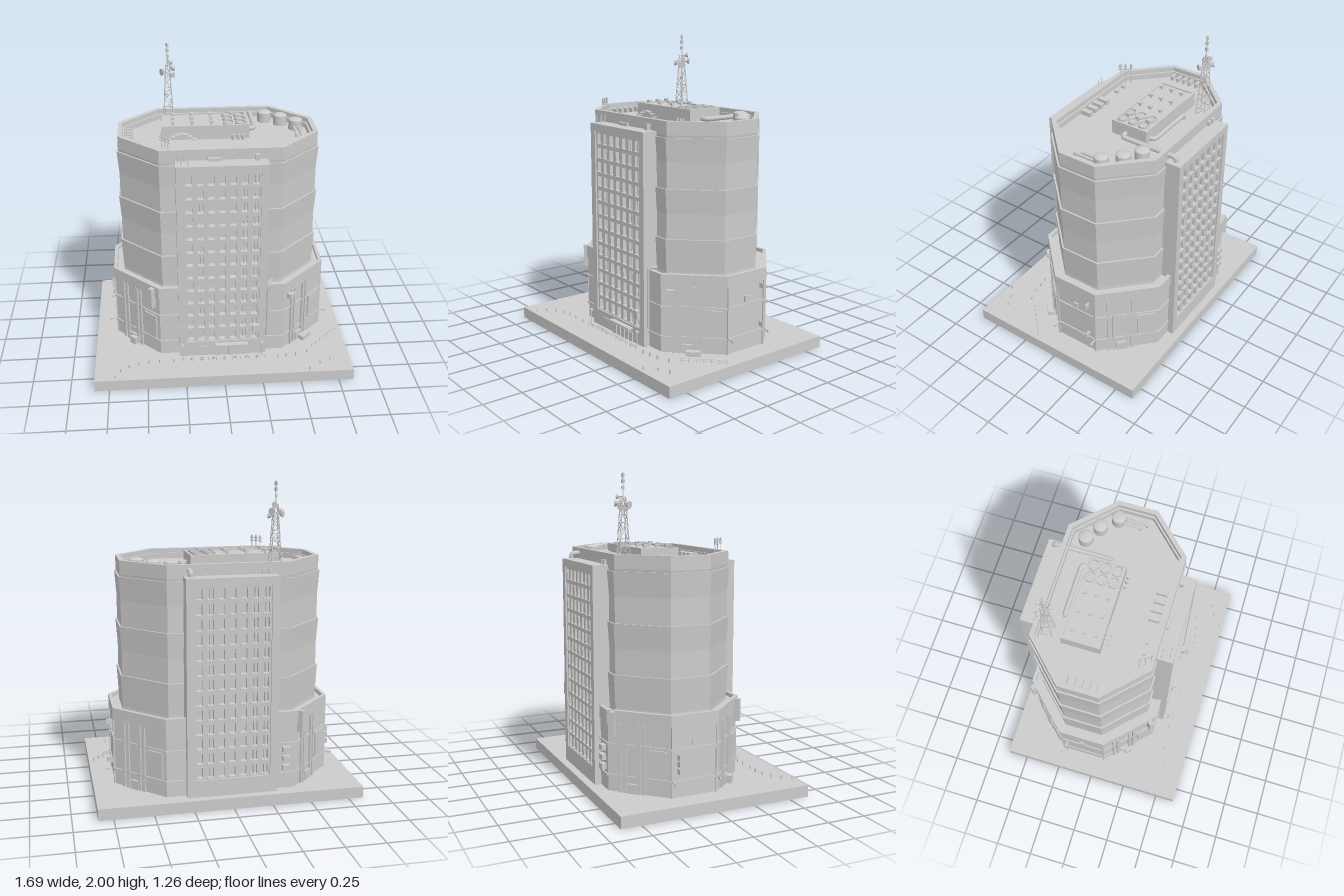
import * as THREE from 'three';

const mat = new THREE.MeshStandardMaterial({ color: 0xcccccc, flatShading: true, side: THREE.DoubleSide });
const smooth = new THREE.MeshStandardMaterial({ color: 0xcccccc, side: THREE.DoubleSide });
const ZC = -0.0925; // tower centre in z
const GROUND = 0.075;
const ROOF = 1.455;

function add(parent, name, geo, x = 0, y = 0, z = 0, ry = 0, m = mat) {
  const mesh = new THREE.Mesh(geo, m);
  mesh.name = name;
  mesh.position.set(x, y, z);
  mesh.rotation.y = ry;
  parent.add(mesh);
  return mesh;
}
// box given by centre x, bottom y, centre z
const box = (p, name, w, h, d, x, y, z, ry = 0) =>
  add(p, name, new THREE.BoxGeometry(w, h, d), x, y + h / 2, z, ry);
const cyl = (p, name, r, h, x, y, z, n = 12) =>
  add(p, name, new THREE.CylinderGeometry(r, r, h, n), x, y + h / 2, z);
// thin straight bar between two points
function bar(p, name, a, b, r) {
  const A = new THREE.Vector3(...a), B = new THREE.Vector3(...b), d = B.clone().sub(A);
  const m = add(p, name, new THREE.CylinderGeometry(r, r, d.length(), 5));
  m.position.copy(A).add(B).multiplyScalar(0.5);
  m.quaternion.setFromUnitVectors(new THREE.Vector3(0, 1, 0), d.normalize());
}
// bent duct: straight runs joined by rounded corners
function pipe(p, name, pts, r) {
  const v = pts.map(q => new THREE.Vector3(...q)), path = new THREE.CurvePath();
  let from = v[0];
  for (let i = 1; i < v.length - 1; i++) {
    const s = v[i].clone().lerp(v[i - 1], Math.min(0.45, 0.035 / v[i].distanceTo(v[i - 1])));
    const e = v[i].clone().lerp(v[i + 1], Math.min(0.45, 0.035 / v[i].distanceTo(v[i + 1])));
    path.add(new THREE.LineCurve3(from, s));
    path.add(new THREE.QuadraticBezierCurve3(s, v[i], e));
    from = e;
  }
  path.add(new THREE.LineCurve3(from, v[v.length - 1]));
  add(p, name, new THREE.TubeGeometry(path, 40, r, 8), 0, 0, 0, 0, smooth);
}

// long octagon grown outward by d
function octagon(d) {
  const hx = 0.64 + d, hz = 0.385 + d, c = 0.255 + 0.586 * d, a = hx - c, b = hz - c;
  return [[hx, b], [hx, -b], [a, -hz], [-a, -hz], [-hx, -b], [-hx, b], [-a, hz], [a, hz]];
}
// skin through octagons given as [offset, y], closed with a flat top
function octLoft(profile) {
  const pos = [], put = (...ps) => ps.forEach(q => pos.push(...q));
  const rings = profile.map(([d, y]) => octagon(d).map(([x, z]) => [x, y, z + ZC]));
  const last = rings[rings.length - 1];
  for (let i = 0; i < 8; i++) {
    const k = (i + 1) % 8;
    for (let j = 0; j + 1 < rings.length; j++) {
      const a = rings[j][i], b = rings[j][k], c = rings[j + 1][k], d = rings[j + 1][i];
      put(a, b, c, a, c, d);
    }
    put(last[i], last[k], [0, last[0][1], ZC]);
  }
  const g = new THREE.BufferGeometry();
  g.setAttribute('position', new THREE.Float32BufferAttribute(pos, 3));
  g.computeVertexNormals();
  return g;
}
// box standing on side i of the podium, t along the side from 0 to 1
function onPodium(p, name, i, t, y, w, h, d, gap = 0) {
  const o = octagon(0.063), [ax, az] = o[i], [bx, bz] = o[(i + 1) % 8];
  const n = new THREE.Vector2(-(bz - az), bx - ax).normalize(), out = gap + d / 2 - 0.004;
  return box(p, name, w, h, d, ax + (bx - ax) * t + n.x * out, y, az + (bz - az) * t + n.y * out + ZC, Math.atan2(n.x, n.y));
}

const rect = (C, x0, y0, x1, y1) => {
  const s = new C();
  s.moveTo(x0, y0); s.lineTo(x1, y0); s.lineTo(x1, y1); s.lineTo(x0, y1); s.closePath();
  return s;
};
// slab with a grid of window openings, facing +z
function facade() {
  const g = new THREE.Group();
  box(g, 'facadeCore', 0.574, 1.375, 0.16, 0, GROUND, 0.37);
  const frame = rect(THREE.Shape, -0.287, GROUND, 0.287, 1.45);
  frame.holes.push(rect(THREE.Path, -0.24, 0.185, 0.24, 1.4));
  add(g, 'facadeFrame', new THREE.ExtrudeGeometry(frame, { depth: 0.037, bevelEnabled: false }), 0, 0, 0.45);
  const grid = rect(THREE.Shape, -0.24, 0.185, 0.24, 1.4);
  for (let r = 0; r < 13; r++) for (let c = 0; c < 7; c++) {
    const x = (c - 3) * 0.069, y = 0.197 + r * 0.0938;
    grid.holes.push(rect(THREE.Path, x - 0.019, y, x + 0.019, y + 0.064));
    box(g, 'windowSill', 0.042, 0.006, 0.012, x, y - 0.006, 0.48);
    if (c === 1 || c > 4) box(g, 'windowMullion', 0.006, 0.064, 0.02, x, y, 0.46);
  }
  add(g, 'windowGrid', new THREE.ExtrudeGeometry(grid, { depth: 0.026, bevelEnabled: false }), 0, 0, 0.45);
  return g;
}

function latticeMast(p, x, z) {
  const g = new THREE.Group(), half = y => 0.034 - 0.022 * (y - ROOF) / 0.4;
  g.name = 'antennaMast';
  const sx = [1, 1, -1, -1], sz = [1, -1, -1, 1];
  const at = (i, y) => [x + sx[i % 4] * half(y), y, z + sz[i % 4] * half(y)];
  for (let i = 0; i < 4; i++) {
    bar(g, 'mastLeg', at(i, ROOF), at(i, 1.86), 0.0035);
    for (let k = 0; k < 8; k++) {
      const y = ROOF + k * 0.05;
      bar(g, 'mastBrace', at(i + k % 2, y), at(i + 1 - k % 2, y + 0.05), 0.002);
      bar(g, 'mastRing', at(i, y + 0.05), at(i + 1, y + 0.05), 0.002);
    }
  }
  bar(g, 'mastSpike', [x, 1.84, z], [x, 2, z], 0.004);
  for (const y of [1.9, 1.94, 1.975]) box(g, 'mastAerial', 0.018, 0.02, 0.014, x, y, z, y * 9);
  for (const [dx, dy, dz, r] of [[-0.035, 1.81, 0.02, 0.024], [0.03, 1.79, 0.025, 0.02], [0.015, 1.86, -0.03, 0.018], [0.03, 1.82, -0.03, 0.022], [-0.03, 1.8, -0.03, 0.018]]) {
    const d = add(g, 'dish', new THREE.CylinderGeometry(r, r * 0.6, 0.018, 12), x + dx, dy, z + dz);
    d.rotation.set(Math.PI / 2, 0, -Math.atan2(dx, dz), 'YXZ');
    d.rotation.y = Math.atan2(dx, dz); d.rotation.z = 0;
    bar(g, 'dishArm', [x, dy, z], [x + dx, dy, z + dz], 0.003);
  }
  p.add(g);
}

export function createModel() {
  const m = new THREE.Group();
  m.name = 'officeTower';

  // ground slab, open underneath
  const slab = new THREE.BoxGeometry(1.69, GROUND, 1.26);
  slab.setIndex([...slab.index.array].filter((_, i) => i < 18 || i >= 24));
  add(m, 'groundSlab', slab, 0, GROUND / 2, 0);

  // podium and tower with flared storeys
  add(m, 'podium', octLoft([[0.06, GROUND], [0.06, 0.515], [0.068, 0.515], [0.068, 0.585], [0.045, 0.585], [0.045, 0.56], [-0.02, 0.56]]));
  for (const y of [0.168, 0.366, 0.505]) add(m, 'podiumBand', octLoft([[0.055, y], [0.068, y], [0.068, y + 0.014], [0.055, y + 0.014]]));
  const storeys = [[0, 0.55]];
  for (const [y0, y1] of [[0.58, 0.79], [0.95, 1.105], [1.27, 1.42]]) storeys.push([-0.002, y0], [0.009, y1], [-0.002, y1]);
  add(m, 'tower', octLoft([...storeys, [0, 1.435], [0, 1.52], [-0.03, 1.52], [-0.03, 1.49], [-0.042, 1.49], [-0.042, ROOF]]));

  // front and back facades
  for (const [name, ry] of [['frontFacade', 0], ['backFacade', Math.PI]]) {
    const f = facade();
    f.name = name; f.position.z = ZC; f.rotation.y = ry;
    m.add(f);
  }

  // podium pilasters, panels, doors and hanging boxes
  for (const i of [1, 3, 5, 7]) {
    for (const t of [0.2, 0.28, 0.5, 0.58]) onPodium(m, 'pilaster', i, t, GROUND, 0.02, 0.435, 0.014);
    onPodium(m, 'wallPanel', i, 0.8, 0.19, 0.11, 0.17, 0.012);
    onPodium(m, 'serviceDoor', i, 0.4, GROUND, 0.06, 0.06, 0.016);
  }
  for (const i of [0, 4]) {
    for (const t of [0.02, 0.98]) {
      onPodium(m, 'cornerPost', i, t, GROUND, 0.012, 0.44, 0.01);
      const lamp = onPodium(m, 'lampArm', i, t, 0.175, 0.006, 0.006, 0.05);
      box(m, 'lampHead', 0.02, 0.012, 0.012, lamp.position.x + Math.sign(lamp.position.x) * 0.025, 0.168, lamp.position.z);
    }
    onPodium(m, 'wallBox', i, 0.5, 0.39, 0.03, 0.04, 0.012);
  }
  for (const y of [0.225, 0.27, 0.31]) onPodium(m, 'hangingSign', 4, 0.15, y, 0.012, 0.034, 0.036, 0.006);
  for (const y of [0.21, 0.465]) onPodium(m, 'hangingSign', 0, 0.85, y, 0.012, 0.032, 0.036, 0.012);
  onPodium(m, 'uprightSign', 5, 0.88, 0.43, 0.03, 0.145, 0.04);
  onPodium(m, 'uprightSign', 3, 0.1, 0.44, 0.03, 0.14, 0.04);
  onPodium(m, 'wallUnit', 7, 0.15, 0.455, 0.05, 0.035, 0.03);
  for (const y of [0.2, 0.26, 0.32]) onPodium(m, 'airConditioner', 2, 0.93, y, 0.05, 0.035, 0.03);
  onPodium(m, 'kiosk', 7, 0.5, GROUND, 0.09, 0.03, 0.04, 0.02);
  onPodium(m, 'kiosk', 5, 0.45, GROUND, 0.05, 0.05, 0.035, 0.01);
  pipe(m, 'downpipe', [[0.3, 0.2, 0.37], [0.3, 0.6, 0.37], [0.33, 0.6, 0.32]], 0.008);
  box(m, 'facadeUnit', 0.045, 0.055, 0.03, 0.22, 0.25, 0.4);

  // entrance
  box(m, 'entranceCanopy', 0.22, 0.01, 0.04, 0.06, 0.16, 0.41);
  for (let i = 0; i < 5; i++) box(m, 'entranceDoor', 0.035, 0.065, 0.01, -0.03 + i * 0.045, GROUND, 0.397);
  for (const x of [-0.15, -0.105]) box(m, 'entrancePanel', 0.035, 0.02, 0.01, x, 0.13, 0.397);
  for (const x of [-0.265, 0.26]) {
    cyl(m, 'streetLampPost', 0.004, 0.1, x, GROUND, 0.43, 6);
    box(m, 'streetLampHead', 0.02, 0.012, 0.02, x, 0.172, 0.43);
  }

  // bollards and pavement railings
  for (const [x, z] of [[-0.71, 0.6], [-0.675, 0.54], [-0.62, 0.5], [-0.56, 0.47], [-0.49, 0.46], [-0.42, 0.457], [-0.33, 0.457],
    [0.365, 0.457], [0.425, 0.452], [0.49, 0.443], [0.57, 0.416], [0.705, 0.515], [0.635, 0.55], [0.56, 0.605]])
    cyl(m, 'bollard', 0.005, 0.025, x, GROUND, z, 8);
  for (const [a, b, n] of [[[-0.26, 0.457], [0.28, 0.457], 10], [[0.61, 0.355], [0.81, 0.16], 6]]) {
    for (let i = 0; i <= n; i++) {
      const t = i / n;
      cyl(m, 'railingPost', 0.003, 0.026, a[0] + (b[0] - a[0]) * t, GROUND, a[1] + (b[1] - a[1]) * t, 5);
    }
    for (const y of [0.088, 0.1]) bar(m, 'railingBar', [a[0], y, a[1]], [b[0], y, b[1]], 0.002);
  }

  // roof plant room with vents and fans
  box(m, 'plantRoom', 0.565, 0.085, 0.25, -0.075, ROOF, -0.165);
  for (const z of [-0.283, -0.047]) box(m, 'plantRoomRim', 0.565, 0.008, 0.014, -0.075, 1.54, z);
  for (const x of [-0.35, 0.2]) box(m, 'plantRoomRim', 0.014, 0.008, 0.25, x, 1.54, -0.165);
  for (const z of [-0.235, -0.16, -0.085]) {
    for (const x of [-0.285, -0.16, -0.035]) {
      cyl(m, 'ventStem', 0.007, 0.016, x, 1.54, z, 8);
      box(m, 'ventCap', 0.024, 0.014, 0.024, x, 1.554, z);
    }
    for (const x of [0.072, 0.152]) {
      add(m, 'fanRing', new THREE.CylinderGeometry(0.034, 0.034, 0.014, 16, 1, true), x, 1.547, z);
      for (let k = 0; k < 4; k++) box(m, 'fanBlade', 0.062, 0.003, 0.008, x, 1.546, z, k * Math.PI / 4);
    }
  }

  // roof tanks, ducts and boxes
  for (const [x, z] of [[0.34, -0.35], [0.44, -0.285], [0.53, -0.19]]) {
    cyl(m, 'waterTank', 0.046, 0.062, x, ROOF, z, 20);
    add(m, 'tankDome', new THREE.SphereGeometry(0.046, 20, 6, 0, Math.PI * 2, 0, Math.PI / 2), x, ROOF + 0.062, z, 0, smooth).scale.y = 0.3;
  }
  for (const [x, z] of [[0.515, -0.04], [0.545, -0.005]]) pipe(m, 'tankPipe', [[x, 1.48, -0.17], [x, 1.48, z], [x, ROOF, z]], 0.01);
  pipe(m, 'roofDuct', [[-0.18, ROOF, -0.32], [-0.18, 1.485, -0.32], [0.165, 1.485, -0.32], [0.165, 1.485, -0.27]], 0.015);
  pipe(m, 'roofDuct', [[0.25, ROOF, -0.53], [0.25, 1.485, -0.53], [0.25, 1.485, -0.14], [0.19, 1.485, -0.14]], 0.016);
  for (const z of [-0.185, -0.135, -0.09, -0.045, 0]) box(m, 'roofVent', 0.05, 0.03, 0.018, -0.57, ROOF, z);
  for (let i = 0; i < 4; i++) box(m, 'roofUnit', 0.034, 0.03, 0.07, -0.05 + i * 0.06, ROOF, 0.21);
  for (const x of [-0.28, -0.205]) box(m, 'roofHatch', 0.022, 0.02, 0.022, x, ROOF, 0.213);
  for (const x of [0.1, 0.135, 0.165]) cyl(m, 'roofStub', 0.01, 0.035, x, ROOF, -0.02, 10);
  for (let i = 0; i < 7; i++) box(m, 'accessStep', 0.028, 0.006, 0.035, -0.315 + i * 0.028, ROOF + 0.045 * Math.sin(Math.PI * (i + 0.5) / 7), -0.02);

  // masts
  latticeMast(m, -0.305, -0.385);
  for (const k of [-1, 0, 1]) {
    const x = -0.345 + k * 0.02, z = 0.24 + k * 0.03;
    bar(m, 'aerialPole', [x, ROOF, z], [x, 1.6, z], 0.003);
    box(m, 'aerialPanel', 0.012, 0.035, 0.008, x, 1.56, z);
  }
  for (const y of [1.56, 1.58]) bar(m, 'aerialRail', [-0.375, y, 0.2], [-0.315, y, 0.28], 0.003);

  // clutter on the facade tops
  for (let i = 0; i < 4; i++) cyl(m, 'roofPole', 0.003, 0.05, -0.27 + i * 0.02, 1.45, 0.32 + (i % 2) * 0.05, 5);
  box(m, 'facadeRoofUnit', 0.09, 0.02, 0.02, -0.04, 1.45, 0.305);
  box(m, 'facadeRoofUnit', 0.025, 0.04, 0.025, 0.22, 1.45, 0.31);
  for (const x of [-0.25, -0.21]) box(m, 'facadeRoofUnit', 0.025, 0.03, 0.02, x, 1.45, -0.485);
  return m;
}
